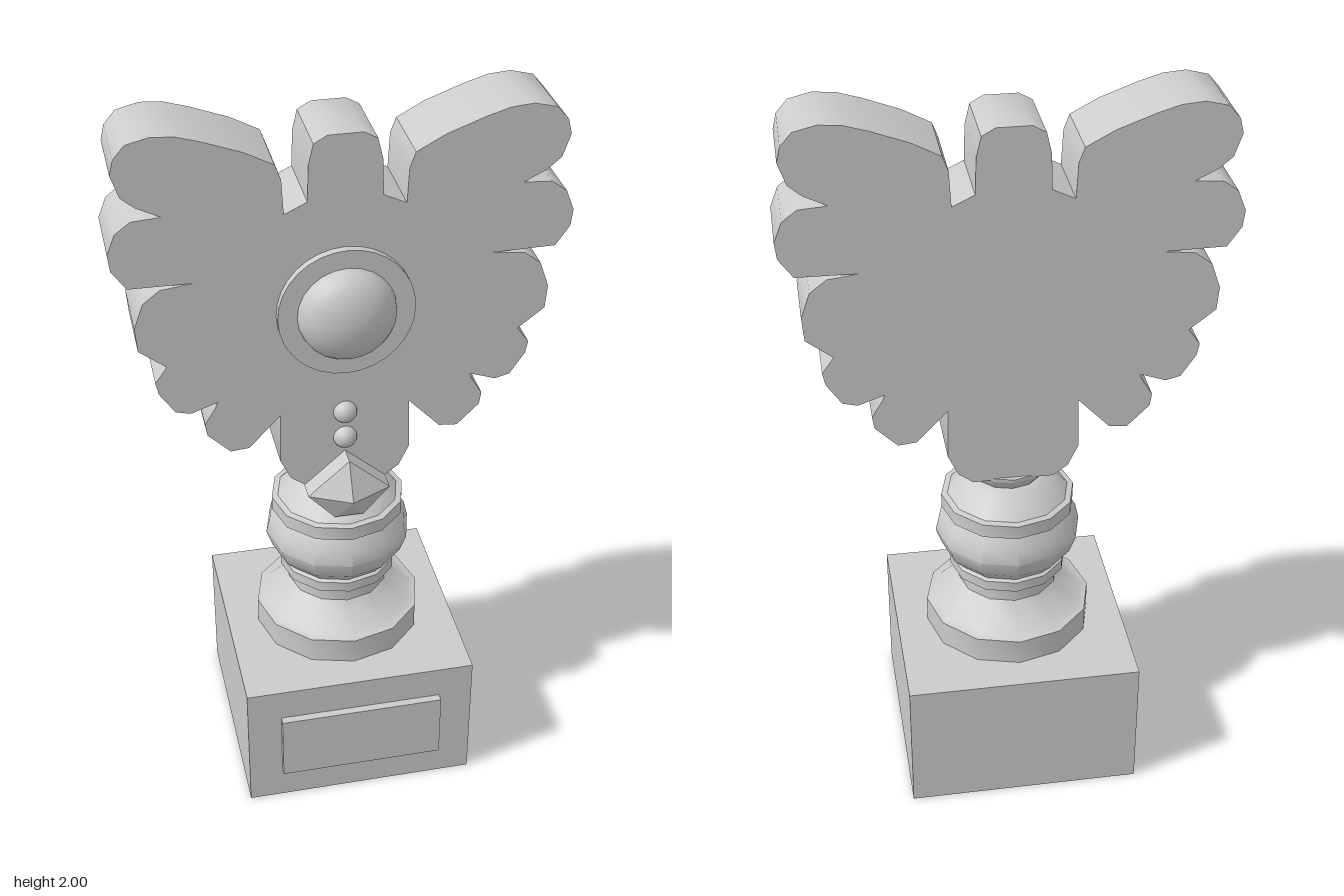
import * as THREE from 'three';
import { toCreasedNormals } from 'three/addons/utils/BufferGeometryUtils.js';

const material = new THREE.MeshStandardMaterial({ color: 0xcccccc });
const toVectors = (points) => points.map(([x, y]) => new THREE.Vector2(x, y));

export function createModel() {
  const model = new THREE.Group();
  const add = (name, geometry, x = 0, y = 0, z = 0) => {
    const mesh = new THREE.Mesh(geometry, material);
    mesh.name = name;
    mesh.position.set(x, y, z);
    model.add(mesh);
    return mesh;
  };

  // Square plinth with a raised blank plaque
  add('plinth', new THREE.BoxGeometry(0.65, 0.395, 0.65), 0, 0.1975, -0.012);
  add('plaque', new THREE.BoxGeometry(0.46, 0.2, 0.03), 0, 0.2, 0.32);

  // Twelve-sided turned column
  const profile = toVectors([
    [0, 0.395], [0.236, 0.395], [0.236, 0.47], [0.212, 0.475], [0.142, 0.545], [0.142, 0.595],
    [0.165, 0.595], [0.165, 0.625], [0.155, 0.63], [0.187, 0.665], [0.205, 0.715],
    [0.195, 0.76], [0.17, 0.795], [0.187, 0.795], [0.187, 0.835], [0.17, 0.838],
    [0.12, 0.893], [0.095, 0.9], [0.12, 0.935], [0.12, 0.945], [0, 0.945],
  ]);
  add('column', toCreasedNormals(new THREE.LatheGeometry(profile, 12), 0.65), 0, 0, -0.01);

  // Winged body: half outline from the head down, then mirrored
  const half = [
    [0.045, 1.965], [0.08, 1.945], [0.093, 1.89], [0.096, 1.793], [0.155, 1.765], // head and notch
    [0.16, 1.86], [0.175, 1.9], [0.25, 1.94], [0.35, 1.977], [0.41, 1.995], [0.47, 2.0],
    [0.53, 1.985], [0.56, 1.95], [0.57, 1.91], [0.55, 1.85], [0.515, 1.82], [0.455, 1.79], // feather 1
    [0.53, 1.785], [0.57, 1.755], [0.592, 1.7], [0.587, 1.655], [0.55, 1.602], [0.385, 1.6], // feather 2
    [0.47, 1.59], [0.515, 1.555], [0.54, 1.485], [0.535, 1.42], [0.465, 1.365], // feather 3
    [0.497, 1.32], [0.49, 1.285], [0.45, 1.225], [0.41, 1.215], [0.34, 1.24], // feather 4
    [0.345, 1.225], [0.375, 1.175], [0.37, 1.14], [0.31, 1.08], [0.26, 1.085], [0.175, 1.175], // feather 5
    [0.178, 1.03], [0.15, 0.97], [0.11, 0.94], // tail
  ];
  const mirrored = half.map(([x, y]) => [-x, y]).reverse();
  const outline = new THREE.Shape(toVectors([...half, ...mirrored]));
  const body = new THREE.ExtrudeGeometry(outline, { depth: 0.208, bevelEnabled: false });
  add('wingedBody', toCreasedNormals(body, 0.7), 0, 0, -0.115);

  // Chest disc with a domed centre
  const disc = new THREE.CylinderGeometry(0.18, 0.18, 0.03, 32).rotateX(Math.PI / 2);
  add('chestDisc', disc, 0, 1.48, 0.1);
  const dome = new THREE.SphereGeometry(0.13, 24, 6, 0, Math.PI * 2, 0, Math.PI / 2);
  add('chestDome', dome.rotateX(Math.PI / 2).scale(1, 1, 0.64), 0, 1.48, 0.114);

  // Two beads below the disc
  for (const y of [1.165, 1.085]) add('bead', new THREE.SphereGeometry(0.033, 16, 10), 0, y, 0.09);

  // Gem: flat-bottomed diamond slab with a pyramid front
  const corners = [[0, 1.04], [-0.113, 0.94], [-0.04, 0.86], [0.04, 0.86], [0.113, 0.94]];
  const slab = new THREE.ExtrudeGeometry(new THREE.Shape(toVectors(corners)), { depth: 0.055, bevelEnabled: false });
  add('gemSlab', slab, 0, 0, 0.093);
  const facets = [];
  corners.forEach((a, i) => {
    const b = corners[(i + 1) % corners.length];
    facets.push(...a, 0.148, ...b, 0.148, 0, 0.94, 0.203);
  });
  const facetGeometry = new THREE.BufferGeometry();
  facetGeometry.setAttribute('position', new THREE.Float32BufferAttribute(facets, 3));
  facetGeometry.computeVertexNormals();
  add('gemFacets', facetGeometry);

  return model;
}
